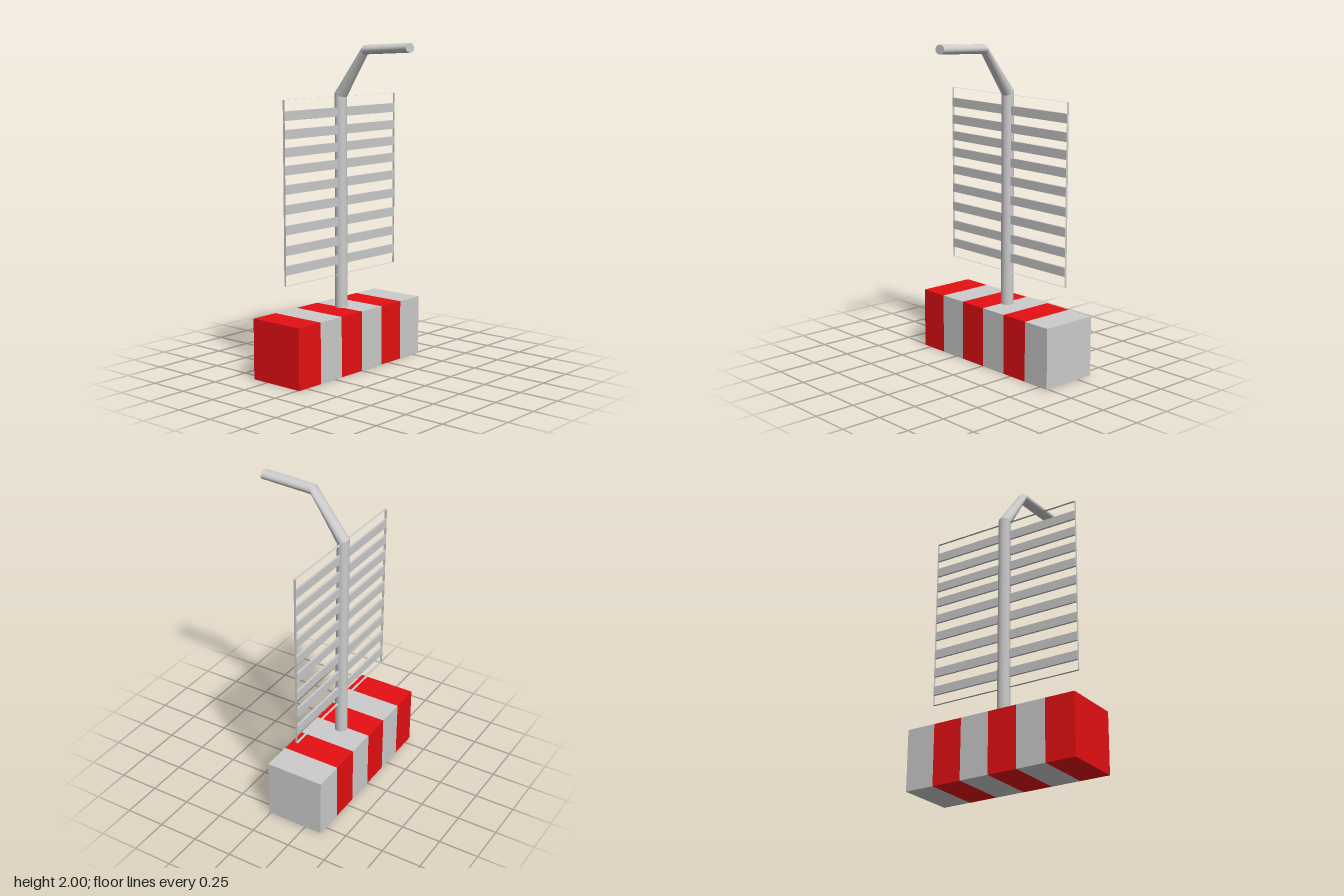
import * as THREE from 'three';

const grey = new THREE.MeshStandardMaterial({ color: 0xcccccc });
const greyThin = new THREE.MeshStandardMaterial({ color: 0xcccccc, side: THREE.DoubleSide });
const red = new THREE.MeshStandardMaterial({ color: 0xe60f13 });

const POLE_Z = -0.02, RADIUS = 0.039, SIDES = 24;

function add(parent, name, geometry, material, x = 0, y = 0, z = 0) {
  const mesh = new THREE.Mesh(geometry, material);
  mesh.name = name;
  mesh.position.set(x, y, z);
  parent.add(mesh);
  return mesh;
}

// Elliptical ring: centre (x, y), in-plane half axis (ux, uy), other half axis along z
function ringPoints({ x, y, ux, uy }) {
  const pts = [];
  for (let i = 0; i < SIDES; i++) {
    const a = (i / SIDES) * Math.PI * 2, c = Math.cos(a);
    pts.push(x + ux * c, y + uy * c, POLE_Z + RADIUS * Math.sin(a));
  }
  return pts;
}

function indexed(positions, index) {
  const g = new THREE.BufferGeometry();
  g.setAttribute('position', new THREE.Float32BufferAttribute(positions, 3));
  g.setIndex(index);
  g.computeVertexNormals();
  return g;
}

// Smooth wall between two mitred rings
function pipe(a, b) {
  const index = [];
  for (let i = 0; i < SIDES; i++) {
    const j = (i + 1) % SIDES;
    index.push(i, j, SIDES + i, j, SIDES + j, SIDES + i);
  }
  return indexed([...ringPoints(a), ...ringPoints(b)], index);
}

function cap(ring) {
  const index = [];
  for (let i = 0; i < SIDES; i++) index.push(SIDES, i, (i + 1) % SIDES);
  return indexed([...ringPoints(ring), ring.x, ring.y, POLE_Z], index);
}

export function createModel() {
  const model = new THREE.Group();
  model.name = 'barrierWithPole';

  // Striped base block, red at the front
  const base = new THREE.Group();
  base.name = 'base';
  model.add(base);
  const depth = 1.12 / 6;
  for (let i = 0; i < 6; i++) {
    add(base, i % 2 ? 'greyStripe' : 'redStripe', new THREE.BoxGeometry(0.37, 0.373, depth),
      i % 2 ? grey : red, -0.175, 0.1865, 0.56 - depth * (i + 0.5));
  }

  // Upright and bent arm, flattened beyond the second bend
  const rings = [
    { x: -0.175, y: 0.37, ux: -0.038, uy: 0 },
    { x: -0.175, y: 1.685, ux: -0.036, uy: 0.015 },
    { x: 0.02, y: 1.957, ux: 0, uy: 0.028 },
    { x: 0.355, y: 1.972, ux: -0.002, uy: 0.028 },
  ];
  const pole = new THREE.Group();
  pole.name = 'pole';
  model.add(pole);
  ['upright', 'slopingArm', 'topArm'].forEach((name, i) =>
    add(pole, name, pipe(rings[i], rings[i + 1]), grey));
  add(pole, 'armEnd', cap(rings[3]), grey);

  // Louvred panel: a thin open rim around nine slats
  const panel = new THREE.Group();
  panel.name = 'panel';
  panel.position.set(-0.172, 0, -0.022);
  model.add(panel);
  const thick = 0.015, width = 1.005, low = 0.58, high = 1.675;
  for (const y of [low, high]) {
    add(panel, 'rimRail', new THREE.PlaneGeometry(thick, width), greyThin, 0, y, 0)
      .rotation.x = y === high ? -Math.PI / 2 : Math.PI / 2;
  }
  for (const s of [-1, 1]) {
    add(panel, 'rimSide', new THREE.PlaneGeometry(thick, high - low), greyThin,
      0, (low + high) / 2, s * width / 2).rotation.y = s > 0 ? 0 : Math.PI;
  }
  for (const y of [0.673, 0.791, 0.913, 1.034, 1.152, 1.265, 1.37, 1.474, 1.582]) {
    add(panel, 'slat', new THREE.BoxGeometry(thick - 0.001, 0.055, width - 0.002), grey, 0, y, 0);
  }

  return model;
}
